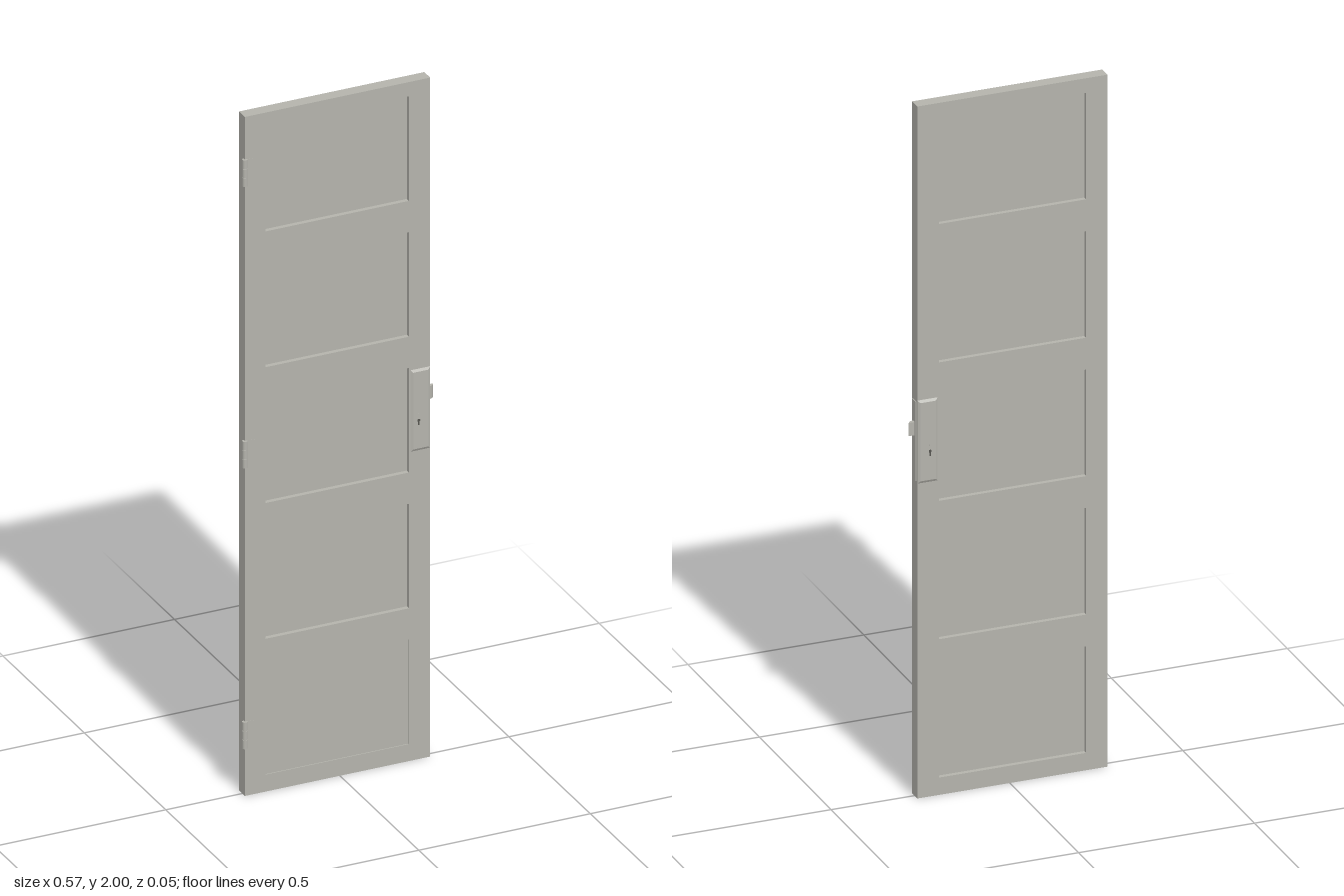
import * as THREE from 'three';

const FRONT = 0.016, BACK = -0.02;
const paint = new THREE.MeshStandardMaterial({ color: 0xb4b3ac });
paint.name = 'warm grey';
const dark = new THREE.MeshStandardMaterial({ color: 0x55544f });
dark.name = 'keyhole grey';

function add(parent, name, geometry, x = 0, y = 0, z = 0, material = paint) {
  const mesh = new THREE.Mesh(geometry, material);
  mesh.name = name;
  mesh.position.set(x, y, z);
  parent.add(mesh);
  return mesh;
}

const box = (w, h, d) => new THREE.BoxGeometry(w, h, d);

function rect(path, x0, y0, x1, y1) {
  path.moveTo(x0, y0);
  path.lineTo(x1, y0);
  path.lineTo(x1, y1);
  path.lineTo(x0, y1);
  path.closePath();
  return path;
}

// Box whose front face (+z) is drawn in to make a bevelled plate
function bevelledPlate(w, h, d, inset) {
  const g = box(w, h, d).toNonIndexed();
  const p = g.attributes.position;
  for (let i = 0; i < p.count; i++) {
    if (p.getZ(i) > 0) {
      p.setX(i, p.getX(i) - Math.sign(p.getX(i)) * inset);
      p.setY(i, p.getY(i) - Math.sign(p.getY(i)) * inset);
    }
  }
  g.computeVertexNormals();
  return g;
}

// Lock plate with keyhole and two small screws, facing +z from its origin
function lockPlate(name) {
  const g = new THREE.Group();
  g.name = name;
  add(g, 'plate', bevelledPlate(0.058, 0.24, 0.004, 0.007), 0, 0, 0.002);
  const disc = (r) => new THREE.CylinderGeometry(r, r, 0.001, 16).rotateX(Math.PI / 2);
  add(g, 'keyholeTop', disc(0.004), -0.006, -0.03, 0.0042, dark);
  add(g, 'keyholeSlot', box(0.004, 0.014, 0.001), -0.006, -0.037, 0.0041, dark);
  add(g, 'screw', disc(0.003), -0.006, -0.012, 0.0042);
  return g;
}

export function createModel() {
  const model = new THREE.Group();
  model.name = 'panelDoor';

  // Frame with five openings
  const outline = rect(new THREE.Shape(), -0.277, 0, 0.263, 2);
  for (let i = 0; i < 5; i++) {
    const y = 0.05 + 0.4 * i;
    outline.holes.push(rect(new THREE.Path(), -0.217, y, 0.201, y + 0.308));
  }
  add(model, 'frame', new THREE.ExtrudeGeometry(outline, { depth: FRONT - BACK, bevelEnabled: false }), 0, 0, BACK);

  // Recessed panels; the lowest one sits nearly flush at the front
  for (let i = 0; i < 5; i++) {
    const front = i === 0 ? 0.013 : 0.003, back = -0.007;
    add(model, 'panel', box(0.418, 0.308, front - back), -0.008, 0.204 + 0.4 * i, (front + back) / 2);
  }

  // Lock plates on both sides
  const frontLock = lockPlate('frontLockPlate');
  frontLock.position.set(0.234, 1.03, FRONT);
  model.add(frontLock);
  const backLock = lockPlate('backLockPlate');
  backLock.position.set(0.234, 1.03, BACK);
  backLock.rotation.y = Math.PI;
  backLock.children.forEach((m) => { m.position.x *= -1; });
  model.add(backLock);

  // Edge plate and latch
  add(model, 'edgePlate', box(0.003, 0.23, 0.022), 0.2645, 1.03, -0.002);
  const latch = new THREE.Shape();
  latch.moveTo(0.262, -0.004);
  latch.quadraticCurveTo(0.278, -0.003, 0.283, 0.009);
  latch.lineTo(0.262, 0.009);
  latch.closePath();
  const latchGeometry = new THREE.ExtrudeGeometry(latch, { depth: 0.038, bevelEnabled: false, curveSegments: 8 });
  add(model, 'latch', latchGeometry.rotateX(-Math.PI / 2), 0, 1.046, 0);

  // Hinges: three knuckles on a pin, with a thin leaf let into the frame
  for (const y of [0.18, 1.007, 1.836]) {
    const hinge = new THREE.Group();
    hinge.name = 'hinge';
    hinge.position.set(-0.277, y, 0.0155);
    for (const k of [-1, 0, 1]) {
      add(hinge, 'knuckle', new THREE.CylinderGeometry(0.0072, 0.0072, 0.0255, 20), 0, k * 0.0263, 0);
    }
    add(hinge, 'pin', new THREE.CylinderGeometry(0.005, 0.005, 0.076, 12));
    add(hinge, 'leaf', box(0.03, 0.076, 0.001), 0.0155, 0, 0.0003);
    model.add(hinge);
  }

  return model;
}
